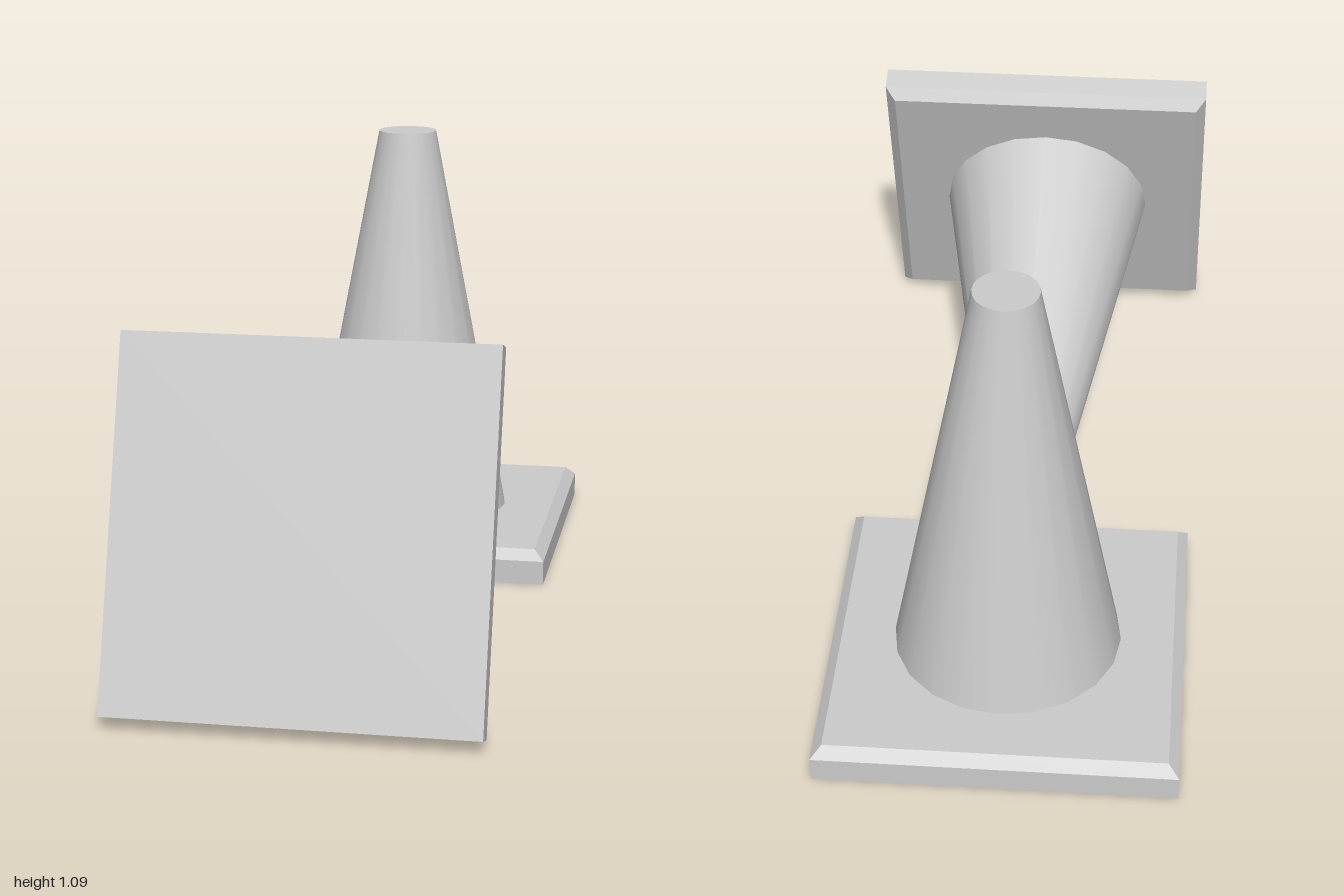
import * as THREE from 'three';

const HALF = 0.418;      // half width of the square base
const BEVEL = 0.025;     // chamfer around the top of the base
const BASE_H = 0.085;
const TOTAL_H = 1.09;

const smooth = new THREE.MeshStandardMaterial({ color: 0xcccccc });
const flat = new THREE.MeshStandardMaterial({ color: 0xcccccc, flatShading: true });

// One traffic cone standing on its own origin
function makeCone(name) {
  const cone = new THREE.Group();
  cone.name = name;

  // Square base with chamfered upper edges: a four-sided lathe
  const r = HALF * Math.SQRT2;
  const inner = (HALF - BEVEL) * Math.SQRT2;
  const profile = [[0, 0], [r, 0], [r, BASE_H - BEVEL], [inner, BASE_H], [0, BASE_H]]
    .map(([x, y]) => new THREE.Vector2(x, y));
  const base = new THREE.Mesh(new THREE.LatheGeometry(profile, 4, Math.PI / 4), flat);
  base.name = 'base';

  // Tapered body with a closed flat top
  const height = TOTAL_H - BASE_H;
  const body = new THREE.Mesh(new THREE.CylinderGeometry(0.075, 0.268, height, 20), smooth);
  body.name = 'body';
  body.position.y = BASE_H + height / 2;

  cone.add(base, body);
  return cone;
}

export function createModel() {
  const model = new THREE.Group();
  model.name = 'trafficCones';

  const upright = makeCone('uprightCone');
  upright.position.z = -0.582;

  // Tipped over, its point resting against the upright cone's base
  const fallen = makeCone('fallenCone');
  fallen.rotation.x = THREE.MathUtils.degToRad(-108);
  fallen.position.set(0, 0.43, 0.871);

  model.add(upright, fallen);
  return model;
}
